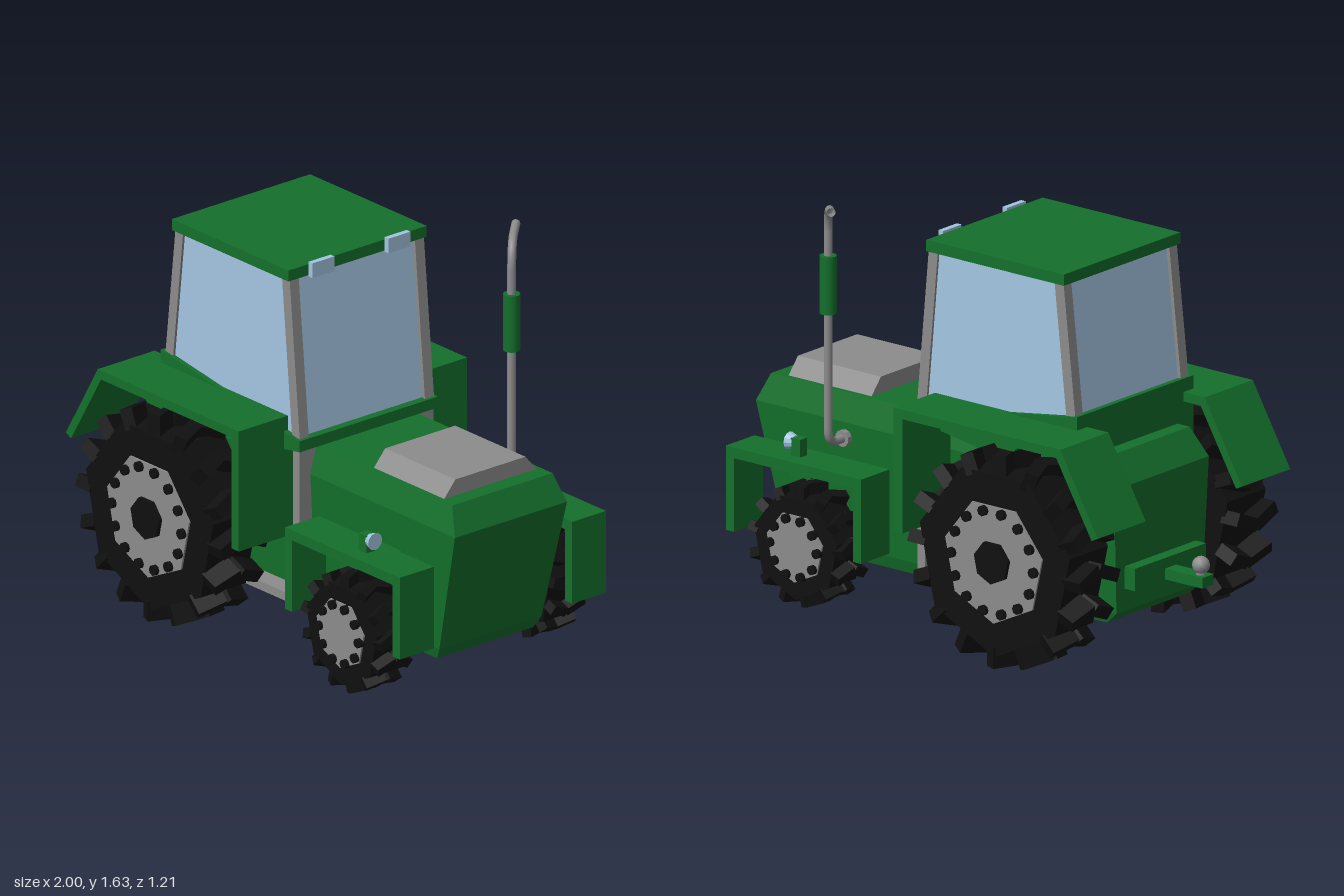
import * as THREE from 'three';

const mat = (color) => new THREE.MeshStandardMaterial({ color, flatShading: true });

export function createModel() {
  const model = new THREE.Group();
  const green = mat(0x14702c), black = mat(0x101010), grey = mat(0x8c8c8c), glass = mat(0xa3c6e2);

  const add = (name, geo, material, parent = model) => {
    const mesh = new THREE.Mesh(geo, material);
    mesh.name = name;
    parent.add(mesh);
    return mesh;
  };
  // side profile in x/y, extruded between two z values
  const prism = (pts, z0, z1) => {
    const shape = new THREE.Shape(pts.map(([x, y]) => new THREE.Vector2(x, y)));
    return new THREE.ExtrudeGeometry(shape, { depth: z1 - z0, bevelEnabled: false }).translate(0, 0, z0);
  };
  // the same profile on either side of the model
  const sidePrism = (name, pts, z0, z1, material) => {
    add(name + 'Left', prism(pts, z0, z1), material);
    add(name + 'Right', prism(pts, -z1, -z0), material);
  };
  const box = (x0, x1, y0, y1, z0, z1) =>
    new THREE.BoxGeometry(x1 - x0, y1 - y0, z1 - z0).translate((x0 + x1) / 2, (y0 + y1) / 2, (z0 + z1) / 2);
  const sideBox = (name, x0, x1, y0, y1, z0, z1, material) => {
    add(name + 'Left', box(x0, x1, y0, y1, z0, z1), material);
    add(name + 'Right', box(x0, x1, y0, y1, -z1, -z0), material);
  };
  // cylinder along z
  const disc = (r, z0, z1, sides) =>
    new THREE.CylinderGeometry(r, r, z1 - z0, sides).rotateX(Math.PI / 2).translate(0, 0, (z0 + z1) / 2);
  // solid from stacked rectangles: [y, xMin, xMax, zMin, zMax]
  const stack = (levels) => {
    const pos = [], idx = [], n = levels.length;
    for (const [y, x0, x1, z0, z1] of levels) pos.push(x0, y, z1, x1, y, z1, x1, y, z0, x0, y, z0);
    for (let l = 0; l < n - 1; l++) {
      for (let k = 0; k < 4; k++) {
        const a = l * 4 + k, b = l * 4 + (k + 1) % 4;
        idx.push(a, b, b + 4, a, b + 4, a + 4);
      }
    }
    const t = (n - 1) * 4;
    idx.push(0, 2, 1, 0, 3, 2, t, t + 1, t + 2, t, t + 2, t + 3);
    const geo = new THREE.BufferGeometry();
    geo.setAttribute('position', new THREE.Float32BufferAttribute(pos, 3));
    geo.setIndex(idx);
    const flat = geo.toNonIndexed();
    flat.computeVertexNormals();
    return flat;
  };

  // main body and hood
  add('body', stack([
    [0.16, -0.70, 0.85, -0.24, 0.24],
    [0.21, -0.76, 0.88, -0.255, 0.255],
    [0.71, -0.77, 1.0, -0.28, 0.28],
    [0.82, -0.70, 0.95, -0.25, 0.25],
  ]), green);
  add('hoodVent', stack([
    [0.815, 0.47, 0.88, -0.235, 0.235],
    [0.885, 0.47, 0.88, -0.175, 0.175],
  ]), grey);

  // cab
  add('cabBelt', prism([[-0.64, 0.7], [-0.25, 0.755], [0.17, 0.82], [0.17, 0.865], [-0.64, 0.99]], -0.345, 0.345), green);
  add('cabGlass', prism([[-0.61, 0.97], [0.145, 0.85], [0.085, 1.51], [-0.55, 1.51]], -0.325, 0.325), glass);
  sidePrism('frontPost', [[0.115, 0.86], [0.16, 0.86], [0.1, 1.51], [0.055, 1.51]], 0.29, 0.335, grey);
  sidePrism('rearPost', [[-0.625, 0.97], [-0.58, 0.97], [-0.52, 1.51], [-0.565, 1.51]], 0.29, 0.335, grey);
  add('roof', box(-0.575, 0.105, 1.5, 1.545, -0.345, 0.345), green);
  sideBox('roofLight', 0.105, 0.128, 1.495, 1.555, 0.135, 0.245, glass);
  sideBox('doorPost', 0.12, 0.157, 0.18, 0.84, 0.25, 0.335, grey);
  sideBox('doorSill', -0.2, 0.12, 0.18, 0.215, 0.25, 0.335, grey);

  // fenders, their brackets and headlights
  sidePrism('rearFender', [
    [-0.93, 0.62], [-0.9, 0.605], [-0.725, 0.9], [0.035, 0.9],
    [0.035, 0.445], [0.078, 0.445], [0.078, 0.937], [-0.745, 0.937],
  ], 0.285, 0.57, green);
  sidePrism('rearBracket', [[-0.49, 0.87], [-0.41, 0.87], [-0.38, 0.9], [-0.52, 0.9]], 0.27, 0.54, green);
  sidePrism('frontFender', [
    [0.285, 0.26], [0.325, 0.26], [0.325, 0.553], [0.912, 0.553],
    [0.912, 0.26], [0.953, 0.26], [0.953, 0.595], [0.285, 0.595],
  ], 0.345, 0.515, green);
  sidePrism('frontBracket', [[0.57, 0.528], [0.66, 0.528], [0.685, 0.556], [0.55, 0.556]], 0.25, 0.48, green);
  for (const s of [1, -1]) {
    add('headlightArm', box(0.64, 0.685, 0.59, 0.665, s * 0.43 - 0.022, s * 0.43 + 0.022), green);
    add('headlight', new THREE.CylinderGeometry(0.035, 0.025, 0.03, 12).rotateZ(-Math.PI / 2)
      .translate(0.695, 0.645, s * 0.43), glass);
  }

  // wheel with its outer face toward +z, centred on the hub
  const wheel = (name, r, lugTop, half, lugs, bolts, hubR, boltR, capR) => {
    const g = new THREE.Group();
    g.name = name;
    add('tyre', disc(r, -half, half, 7), black, g);
    add('rim', disc(hubR, -half - 0.004, half + 0.008, 7), grey, g);
    if (capR) add('hubCap', disc(capR, half, half + 0.025, 7), black, g);
    for (let i = 0; i < bolts; i++) {
      const a = (i + 0.5) / bolts * Math.PI * 2;
      add('bolt', disc(boltR, half, half + 0.025, 8)
        .translate(Math.sin(a) * hubR * 0.83, Math.cos(a) * hubR * 0.83, 0), black, g);
    }
    // slanted tread lugs in pairs, forming a chevron
    const low = r * 0.9, size = r * 0.08 + 0.022;
    for (let i = 0; i < lugs; i++) {
      for (const s of [1, -1]) {
        const geo = new THREE.BoxGeometry(size, lugTop - low, half * 1.08)
          .rotateY(s * 0.4).translate(0, (lugTop + low) / 2, s * half * 0.5)
          .rotateZ(-i / lugs * Math.PI * 2);
        add('treadLug', geo, black, g);
      }
    }
    return g;
  };
  for (const s of [1, -1]) {
    const side = s > 0 ? 'Left' : 'Right';
    const rear = wheel('rearWheel' + side, 0.38, 0.425, 0.113, 16, 14, 0.245, 0.021, 0.085);
    rear.position.set(-0.43, 0.43, s * 0.467);
    const front = wheel('frontWheel' + side, 0.21, 0.235, 0.08, 13, 10, 0.14, 0.019, 0);
    front.position.set(0.61, 0.26, s * 0.432);
    if (s < 0) rear.rotation.y = front.rotation.y = Math.PI;
    model.add(rear, front);
  }
  add('frontAxle', disc(0.055, -0.36, 0.36, 16).translate(0.61, 0.26, 0), grey);
  add('rearAxle', disc(0.07, -0.37, 0.37, 16).translate(-0.43, 0.43, 0), grey);

  // exhaust
  const smoothGrey = new THREE.MeshStandardMaterial({ color: 0x8c8c8c, side: THREE.DoubleSide });
  const v = (x, y, z) => new THREE.Vector3(x, y, z);
  const path = new THREE.CurvePath();
  path.add(new THREE.LineCurve3(v(0.56, 0.65, -0.27), v(0.56, 0.65, -0.33)));
  path.add(new THREE.QuadraticBezierCurve3(v(0.56, 0.65, -0.33), v(0.56, 0.65, -0.38), v(0.56, 0.71, -0.38)));
  path.add(new THREE.LineCurve3(v(0.56, 0.71, -0.38), v(0.56, 1.5, -0.38)));
  path.add(new THREE.QuadraticBezierCurve3(v(0.56, 1.5, -0.38), v(0.555, 1.6, -0.385), v(0.5, 1.605, -0.44)));
  path.add(new THREE.LineCurve3(v(0.5, 1.605, -0.44), v(0.445, 1.622, -0.5)));
  add('exhaustPipe', new THREE.TubeGeometry(path, 90, 0.017, 10), smoothGrey);
  add('exhaustFlange', disc(0.033, -0.3, -0.27, 10).translate(0.56, 0.65, 0), grey);
  add('muffler', new THREE.CylinderGeometry(0.033, 0.033, 0.23, 16).translate(0.56, 1.285, -0.38),
    new THREE.MeshStandardMaterial({ color: 0x14702c }));

  // hitch
  add('hitchPlate', box(-0.815, -0.75, 0.3, 0.39, -0.21, 0.21), green);
  add('hitchBar', box(-1.0, -0.8, 0.305, 0.348, -0.033, 0.033), green);
  add('hitchStem', new THREE.CylinderGeometry(0.02, 0.02, 0.05, 10).translate(-0.965, 0.36, 0), grey);
  add('hitchBall', new THREE.SphereGeometry(0.035, 12, 8).translate(-0.965, 0.385, 0), smoothGrey);

  return model;
}
